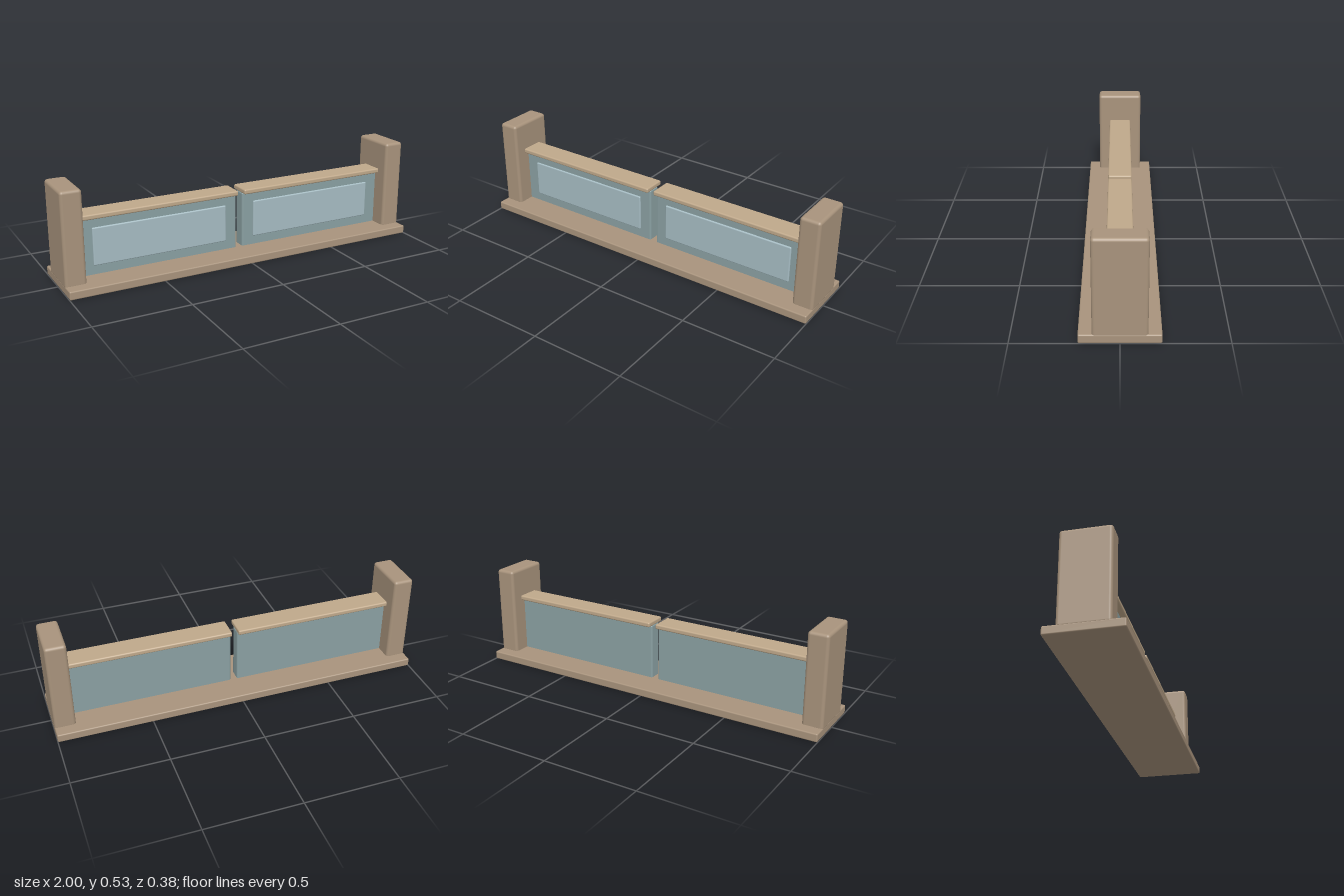
import * as THREE from 'three';
import { RoundedBoxGeometry } from 'three/addons/geometries/RoundedBoxGeometry.js';

const material = (color) => new THREE.MeshStandardMaterial({ color });

// Rounded box given by its extents on each axis
function block(name, [x0, x1], [y0, y1], [z0, z1], radius, mat) {
  const geometry = new RoundedBoxGeometry(x1 - x0, y1 - y0, z1 - z0, 3, radius);
  const mesh = new THREE.Mesh(geometry, mat);
  mesh.name = name;
  mesh.position.set((x0 + x1) / 2, (y0 + y1) / 2, (z0 + z1) / 2);
  return mesh;
}

export function createModel() {
  const wood = material(0xa8937c);
  const paleWood = material(0xbfa88a);
  const panelBlue = material(0x8aa0a2);
  const insetBlue = material(0xa6bcc3);

  const model = new THREE.Group();
  model.name = 'lowPartition';

  // Long base board
  model.add(block('base', [-1, 1], [0, 0.045], [-0.19, 0.19], 0.007, wood));

  // Each half: end post, panel with raised inset, and cap rail
  for (const [side, s] of [['left', 1], ['right', -1]]) {
    const span = (a, b) => (s > 0 ? [a, b] : [-b, -a]);
    const half = new THREE.Group();
    half.name = side + 'Half';
    half.add(
      block(side + 'Post', span(0.89, 1), [0.03, 0.527], [-0.127, 0.127], 0.016, wood),
      block(side + 'Panel', span(0.018, 0.9), [0.035, 0.347], [-0.035, 0.035], 0.01, panelBlue),
      block(side + 'Inset', span(0.083, 0.823), [0.093, 0.293], [0.02, 0.043], 0.006, insetBlue),
      block(side + 'CapRail', span(0.018, 0.895), [0.343, 0.37], [-0.063, 0.063], 0.008, paleWood),
    );
    model.add(half);
  }
  return model;
}
